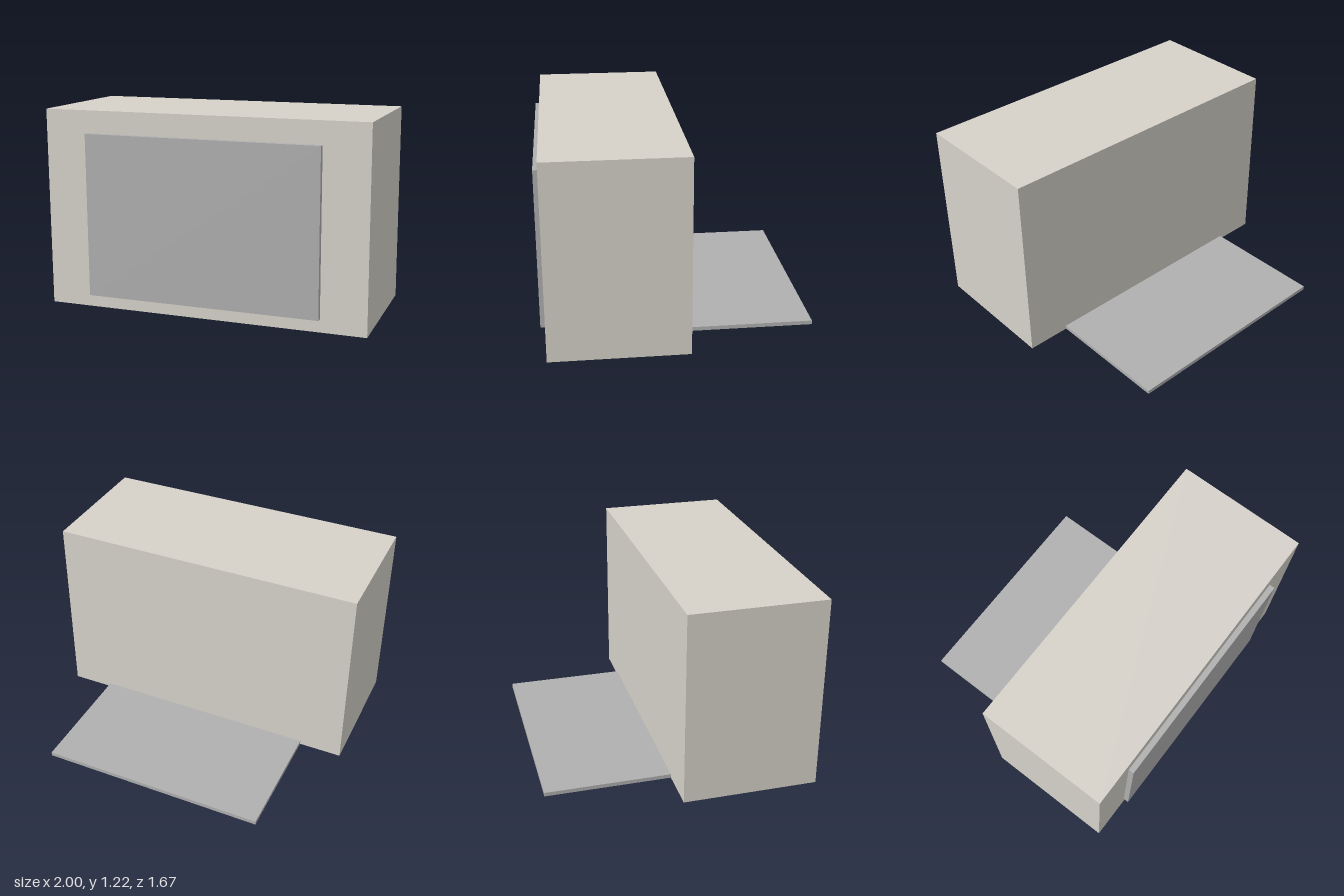
import * as THREE from 'three';

const casingMaterial = new THREE.MeshStandardMaterial({ color: 0xd6d2ca });
const plateMaterial = new THREE.MeshStandardMaterial({ color: 0xb0b0b0 });

// Box given by its lower and upper corners
function block(name, [x0, y0, z0], [x1, y1, z1], material) {
  const mesh = new THREE.Mesh(new THREE.BoxGeometry(x1 - x0, y1 - y0, z1 - z0), material);
  mesh.position.set((x0 + x1) / 2, (y0 + y1) / 2, (z0 + z1) / 2);
  mesh.name = name;
  return mesh;
}

export function createModel() {
  const model = new THREE.Group();
  model.name = 'casingWithPlates';

  // Main casing
  model.add(block('casing', [-1, 0, -0.045], [1, 1.215, 0.8], casingMaterial));

  // Raised panel on the front face
  model.add(block('frontPanel', [-0.725, 0.08, 0.8], [0.725, 1.078, 0.835], plateMaterial));

  // Thin floor plate reaching out behind, butted against the casing
  model.add(block('rearFloorPlate', [-0.725, 0, -0.835], [0.725, 0.025, -0.045], plateMaterial));

  return model;
}
